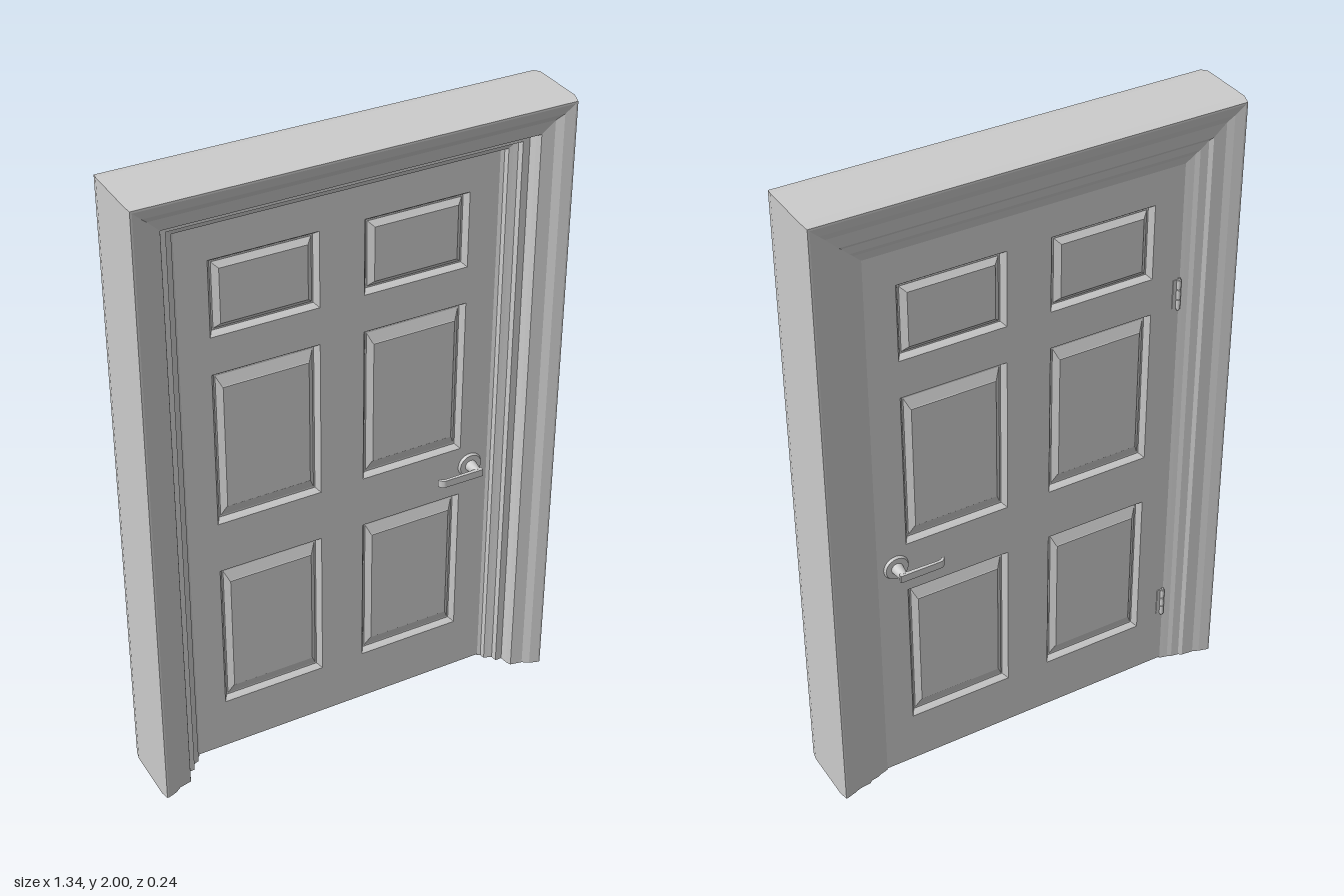
import * as THREE from 'three';

const FRONT = -0.005, BACK = -0.065; // door faces
const material = new THREE.MeshStandardMaterial({ color: 0xcccccc, flatShading: true, side: THREE.DoubleSide });
const smooth = new THREE.MeshStandardMaterial({ color: 0xcccccc });

function mesh(name, geometry, mat = material) {
  const m = new THREE.Mesh(geometry, mat);
  m.name = name;
  return m;
}

// Skin a list of equally long point rings with flat quads
function loft(rings, closed, cap) {
  const n = rings[0].length, index = [];
  for (let i = 0; i < rings.length - 1; i++) {
    for (let j = 0; j < (closed ? n : n - 1); j++) {
      const k = (j + 1) % n, a = i * n + j, b = i * n + k;
      index.push(a, b, b + n, a, b + n, a + n);
    }
  }
  if (cap) {
    const s = (rings.length - 1) * n;
    index.push(s, s + 1, s + 2, s, s + 2, s + 3);
  }
  const g = new THREE.BufferGeometry();
  g.setAttribute('position', new THREE.Float32BufferAttribute(rings.flat(2), 3));
  g.setIndex(index);
  const flat = g.toNonIndexed();
  flat.computeVertexNormals();
  return flat;
}

// Mitred casing and jamb: a profile of [inset, z] carried up, across and down, open at the feet
function frame() {
  const profile = [
    [0, 0.09], [0.006, 0.117], [0.012, 0.117], [0.04, 0.108], [0.06, 0.094], [0.098, 0.086], [0.105, 0.07],
    [0.108, 0.045], [0.13, 0.045], [0.132, 0.025], [0.145, 0.02], [0.157, 0.016], [0.16, 0], [0.17, FRONT],
    [0.17, BACK], [0.16, -0.068], [0.145, -0.072], [0.132, -0.078], [0.108, -0.082],
    [0.098, -0.09], [0.06, -0.094], [0.04, -0.102], [0.012, -0.11], [0.006, -0.11], [0, -0.083],
  ];
  const stations = [[-1, 0], [-1, 1], [1, 1], [1, 0]];
  const rings = stations.map(([sx, top]) =>
    profile.map(([d, z]) => [sx * (0.67 - d), top * (2 - d), z]));
  return mesh('doorFrame', loft(rings, true));
}

// Panel openings: [bottom, top, vertical width of the bevel]
const rows = [[0.18, 0.685, 0.05], [0.855, 1.365, 0.05], [1.485, 1.725, 0.032]];
const openings = [];
for (const [y0, y1, bevel] of rows) {
  for (const x0 of [-0.405, 0.07]) openings.push({ x0, x1: x0 + 0.335, y0, y1, bevel });
}

function doorLeaf() {
  const shape = new THREE.Shape([[-0.5, 0.005], [0.5, 0.005], [0.5, 1.83], [-0.5, 1.83]]
    .map(([x, y]) => new THREE.Vector2(x, y)));
  for (const { x0, x1, y0, y1 } of openings) {
    shape.holes.push(new THREE.Path([[x0, y0], [x0, y1], [x1, y1], [x1, y0]]
      .map(([x, y]) => new THREE.Vector2(x, y))));
  }
  const g = new THREE.ExtrudeGeometry(shape, { depth: FRONT - BACK, bevelEnabled: false });
  g.translate(0, 0, BACK);
  return mesh('doorLeaf', g);
}

// Raised panel: groove, sloped bevel and flat field
function panel({ x0, x1, y0, y1, bevel }) {
  const steps = [[0, 0, 0], [0.006, 0.006, -0.008], [0.012, 0.012, -0.017],
    [0.017, 0.017, -0.017], [0.032, bevel, -0.005], [0.034, bevel + 0.002, -0.003]];
  const rings = steps.map(([dx, dy, z]) => [
    [x0 + dx, y0 + dy, z], [x1 - dx, y0 + dy, z], [x1 - dx, y1 - dy, z], [x0 + dx, y1 - dy, z]]);
  return mesh('raisedPanel', loft(rings, true, true));
}

function panelSet(name) {
  const group = new THREE.Group();
  group.name = name;
  for (const opening of openings) group.add(panel(opening));
  return group;
}

// Lever handle, built facing +z from the door face
function handle(name) {
  const group = new THREE.Group();
  group.name = name;
  const rose = mesh('rosette', new THREE.CylinderGeometry(0.036, 0.04, 0.008, 32), smooth);
  rose.rotation.x = Math.PI / 2;
  rose.position.z = 0.004;
  const neck = mesh('neck', new THREE.CylinderGeometry(0.013, 0.019, 0.044, 24), smooth);
  neck.rotation.x = Math.PI / 2;
  neck.position.z = 0.028;

  // Lever outline seen from above, slightly turned in at the tip
  const outline = new THREE.Shape();
  outline.moveTo(0.012, 0.044);
  outline.lineTo(0.016, 0.054);
  outline.lineTo(0.013, 0.058);
  outline.lineTo(-0.118, 0.057);
  outline.quadraticCurveTo(-0.128, 0.055, -0.135, 0.042);
  outline.lineTo(-0.128, 0.039);
  outline.quadraticCurveTo(-0.122, 0.048, -0.108, 0.048);
  outline.lineTo(-0.02, 0.046);
  outline.closePath();
  const g = new THREE.ExtrudeGeometry(outline, { depth: 0.024, bevelEnabled: false, curveSegments: 6 });
  g.rotateX(Math.PI / 2);
  g.translate(0, 0.012, 0);
  group.add(rose, neck, mesh('lever', g));
  return group;
}

// Butt hinge: three knuckles on a pin, with a thin leaf
function hinge(y) {
  const group = new THREE.Group();
  group.name = 'hinge';
  for (const k of [-1, 0, 1]) {
    const knuckle = mesh('knuckle', new THREE.CylinderGeometry(0.007, 0.007, 0.03, 12), smooth);
    knuckle.position.y = k * 0.033;
    group.add(knuckle);
  }
  const pin = mesh('pin', new THREE.CylinderGeometry(0.004, 0.004, 0.108, 8), smooth);
  const leaf = mesh('leaf', new THREE.BoxGeometry(0.02, 0.096, 0.003));
  leaf.position.set(0.008, 0, 0.004);
  group.add(pin, leaf);
  group.position.set(-0.495, y, BACK - 0.005);
  return group;
}

export function createModel() {
  const model = new THREE.Group();
  model.name = 'panelDoor';
  model.add(frame(), doorLeaf());

  const frontPanels = panelSet('frontPanels');
  frontPanels.position.z = FRONT;
  const backPanels = panelSet('backPanels');
  backPanels.rotation.y = Math.PI;
  backPanels.position.z = BACK;

  const frontHandle = handle('frontHandle');
  frontHandle.position.set(0.44, 0.785, FRONT);
  const backHandle = handle('backHandle');
  backHandle.rotation.x = Math.PI;
  backHandle.position.set(0.44, 0.785, BACK);

  model.add(frontPanels, backPanels, frontHandle, backHandle, hinge(0.25), hinge(1.41));
  return model;
}
